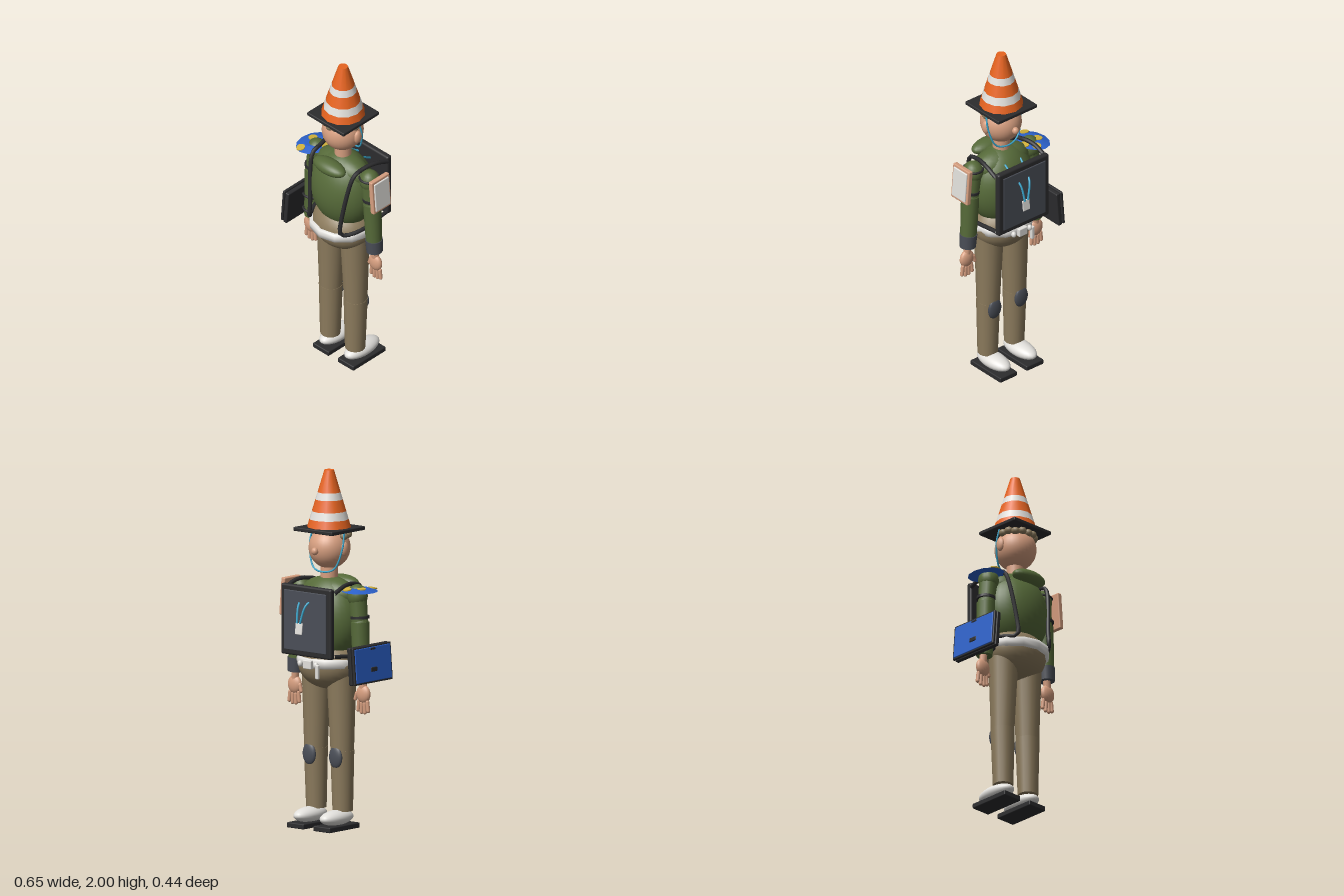
import * as THREE from 'three';
import { RoundedBoxGeometry } from 'three/addons/geometries/RoundedBoxGeometry.js';

const mat = (name, color, side = THREE.FrontSide) => {
  const m = new THREE.MeshStandardMaterial({ color, side });
  m.name = name;
  return m;
};

export function createModel() {
  const root = new THREE.Group();
  root.name = 'figure';
  const C = {
    orange: mat('orange', 0xe8641f), white: mat('white', 0xe2e0dc), black: mat('black', 0x2c2c2e),
    green: mat('green', 0x566a39), khaki: mat('khaki', 0x8c7b5d), skin: mat('skin', 0xd79f80),
    blue: mat('blue', 0x2c62cc, THREE.DoubleSide), yellow: mat('yellow', 0xd2b23c, THREE.DoubleSide),
    cyan: mat('cyan', 0x3aa6cc), grey: mat('slate grey', 0x4a4e57),
  };
  const CX = 0.011, CZ = 0.027; // body axis

  const add = (name, geo, m, p = [0, 0, 0], r = [0, 0, 0], parent = root) => {
    const mesh = new THREE.Mesh(geo, m);
    mesh.name = name;
    mesh.position.set(...p);
    mesh.rotation.set(...r);
    parent.add(mesh);
    return mesh;
  };
  const ball = (name, m, p, r, seg = 24) =>
    add(name, new THREE.SphereGeometry(1, seg, Math.ceil(seg * 0.7)).scale(...r), m, p);
  const box = (name, m, p, s, r, parent, round = 0.006) =>
    add(name, new RoundedBoxGeometry(...s, 2, Math.min(round, Math.min(...s) * 0.45)), m, p, r, parent);
  // tapered limb between two points
  const limb = (name, m, a, b, ra, rb, seg = 16) => {
    const A = new THREE.Vector3(...a), B = new THREE.Vector3(...b), d = B.clone().sub(A);
    const mesh = add(name, new THREE.CylinderGeometry(rb, ra, d.length(), seg), m);
    mesh.position.copy(A).add(B).multiplyScalar(0.5);
    mesh.quaternion.setFromUnitVectors(new THREE.Vector3(0, 1, 0), d.normalize());
    return mesh;
  };
  const tube = (name, m, pts, r, tension = 0.5) =>
    add(name, new THREE.TubeGeometry(new THREE.CatmullRomCurve3(
      pts.map(p => new THREE.Vector3(...p)), false, 'catmullrom', tension), 32, r, 8), m);

  // cone hat: plate and stacked colour bands
  box('hatPlate', C.black, [CX, 1.67, CZ], [0.284, 0.022, 0.284]);
  const coneR = y => 0.124 - (y - 1.68) / 0.32 * 0.097;
  const bands = [1.68, 1.725, 1.77, 1.835, 1.875, 2.0];
  for (let i = 0; i < 5; i++) {
    const a = bands[i], b = bands[i + 1];
    add(i % 2 ? 'hatStripe' : 'hatCone', new THREE.CylinderGeometry(coneR(b), coneR(a), b - a, 12),
      i % 2 ? C.white : C.orange, [CX, (a + b) / 2, CZ]);
  }

  // head
  ball('head', C.skin, [CX, 1.565, 0.03], [0.115, 0.118, 0.118], 32);
  ball('nose', C.skin, [CX, 1.557, -0.095], [0.02, 0.022, 0.02], 12);
  for (const s of [-1, 1]) ball('ear', C.skin, [CX + s * 0.113, 1.567, CZ], [0.018, 0.04, 0.027], 14);
  for (let i = 0; i <= 8; i++) {
    const t = Math.PI * i / 8;
    ball('hairCurl', C.khaki, [CX + 0.1 * Math.cos(t), 1.637 + 0.005 * (i % 2), 0.035 + 0.095 * Math.sin(t)],
      [0.025, 0.022, 0.025], 10);
  }
  add('neck', new THREE.CylinderGeometry(0.048, 0.048, 0.1, 20), C.skin, [CX, 1.42, CZ]);
  tube('chinStrap', C.cyan, [[-0.104, 1.66, 0.02], [-0.108, 1.57, 0], [-0.07, 1.46, -0.02], [CX, 1.435, -0.035],
    [0.092, 1.46, -0.02], [0.13, 1.57, 0], [0.126, 1.66, 0.02]], 0.005);

  // torso, collar, hips
  ball('torso', C.green, [CX, 1.17, CZ], [0.202, 0.24, 0.16], 32);
  ball('shoulderYoke', C.green, [CX, 1.31, CZ], [0.18, 0.095, 0.1]);
  ball('hood', C.green, [CX, 1.36, 0.135], [0.115, 0.042, 0.056]);
  ball('hips', C.khaki, [CX, 0.92, CZ], [0.185, 0.145, 0.157], 28);

  // belt with fittings
  const beltProfile = [[0.17, 0.905], [0.187, 0.91], [0.191, 0.935], [0.187, 0.957], [0.17, 0.96]]
    .map(p => new THREE.Vector2(...p));
  const belt = add('belt', new THREE.LatheGeometry(beltProfile, 12), C.white, [CX, 0, 0.034]);
  belt.scale.z = 0.97;
  box('buckle', C.white, [CX, 0.93, -0.153], [0.06, 0.05, 0.025]);
  for (const x of [-0.045, 0.07]) ball('beltKnob', C.white, [x, 0.93, -0.15], [0.015, 0.018, 0.015], 10);
  box('beltTab', C.white, [-0.06, 0.895, -0.155], [0.022, 0.08, 0.02]);

  for (const s of [-1, 1]) {
    const at = (x, y, z) => [CX + s * x, y, z];
    // leg, knee pad, shoe
    limb('thigh', C.khaki, at(0.096, 0.43, 0.026), at(0.09, 0.87, 0.026), 0.065, 0.083);
    limb('shin', C.khaki, at(0.096, 0.1, 0.03), at(0.096, 0.44, 0.026), 0.057, 0.067);
    ball('kneePad', C.grey, at(0.096, 0.405, -0.03), [0.046, 0.062, 0.018], 18);
    ball('shoe', C.white, at(0.096, 0.067, -0.022), [0.06, 0.043, 0.126]);
    box('sole', C.black, at(0.096, 0.015, -0.022), [0.122, 0.03, 0.258]);

    // arm
    ball('shoulder', C.green, at(0.205, 1.315, CZ), [0.058, 0.065, 0.058], 18);
    limb('upperArm', C.green, at(0.222, 1.16, CZ), at(0.205, 1.32, CZ), 0.047, 0.052, 14);
    ball('elbow', C.green, at(0.224, 1.16, CZ), [0.05, 0.05, 0.05], 16);
    limb('forearm', C.green, at(0.238, s > 0 ? 0.92 : 0.845, CZ), at(0.224, 1.17, CZ), 0.046, 0.052, 14);
    if (s > 0) limb('cuff', C.grey, at(0.243, 0.845, CZ), at(0.238, 0.925, CZ), 0.046, 0.05, 14);
    limb('armBand', C.black, at(0.224, 1.19, CZ), at(0.223, 1.205, CZ), 0.054, 0.054, 16);

    // hand with four fingers and a thumb
    ball('palm', C.skin, at(0.25, 0.77, CZ), [0.047, 0.052, 0.025], 18);
    limb('wrist', C.skin, at(0.25, 0.79, CZ), at(0.244, 0.85, CZ), 0.02, 0.022, 10);
    for (let i = 0; i < 4; i++) {
      const x = 0.218 + i * 0.022;
      add('finger', new THREE.CapsuleGeometry(0.011, 0.05, 4, 8), C.skin,
        at(x, 0.703 - (i === 1 || i === 2 ? 0.01 : 0), 0.024), [0, 0, s * (i - 1.5) * 0.08]);
    }
    add('thumb', new THREE.CapsuleGeometry(0.011, 0.035, 4, 8), C.skin, at(0.203, 0.755, 0.02), [0, 0, s * -0.3]);

    // harness strap looping over the shoulder and back under the arm
    tube('harnessStrap', C.black, [at(0.178, 1.34, -0.14), at(0.175, 1.375, -0.05), at(0.162, 1.375, 0.04),
      at(0.155, 1.33, 0.12), at(0.12, 1.06, 0.165), at(0.125, 0.965, 0.165), at(0.175, 0.97, 0.06),
      at(0.175, 0.99, -0.14)], 0.012);
  }

  // chest panel with screen, plug and wires
  box('panelFrame', C.black, [0.013, 1.172, -0.153], [0.366, 0.396, 0.036], [0, 0, 0], root, 0.012);
  box('panelScreen', C.grey, [0.013, 1.172, -0.174], [0.305, 0.335, 0.008]);
  box('plug', C.white, [0.03, 1.135, -0.208], [0.05, 0.065, 0.008], [0.12, 0, 0]);
  tube('leftWire', C.cyan, [[0.042, 1.165, -0.212], [0.052, 1.26, -0.187], [0.064, 1.31, -0.12], [0.066, 1.345, -0.07]], 0.006);
  tube('rightWire', C.cyan, [[0.02, 1.165, -0.212], [-0.007, 1.265, -0.193], [-0.034, 1.31, -0.12], [-0.045, 1.345, -0.07]], 0.006);

  // framed pad on the left shoulder
  const pad = new THREE.Group();
  pad.name = 'shoulderPad';
  pad.position.set(0.296, 1.268, CZ);
  pad.rotation.z = 0.08;
  root.add(pad);
  box('padFrame', C.skin, [0, 0, 0], [0.028, 0.21, 0.14], [0, 0, 0], pad);
  box('padPlate', C.white, [0.016, 0, 0], [0.012, 0.18, 0.114], [0, 0, 0], pad);
  add('padStrap', new THREE.TorusGeometry(0.056, 0.007, 6, 20), C.black, [0.216, 1.335, CZ], [Math.PI / 2, 0, 0]);

  // shallow spotted dome on the right shoulder
  const dome = new THREE.Group();
  dome.name = 'spottedDome';
  dome.position.set(-0.213, 1.352, CZ);
  dome.rotation.z = 0.05;
  root.add(dome);
  const cap = add('domeShell', new THREE.CylinderGeometry(0.06, 0.114, 0.016, 12), C.blue, [0, 0, 0], [0, 0, 0], dome);
  cap.scale.x = 0.8;
  for (const [x, z, y] of [[-0.026, -0.018, 0.0095], [-0.018, 0.088, 0.002], [0.07, -0.02, 0.002],
    [0.03, -0.075, 0.0045]])
    add('domeSpot', new THREE.CylinderGeometry(0.025, 0.025, 0.006, 14), C.yellow, [x, y, z],
      [z * 2.2, 0, -x * 2.2], dome);

  // folding computer strapped to the right forearm
  const slate = new THREE.Group();
  slate.name = 'armComputer';
  slate.position.set(-0.287, 0.945, CZ);
  slate.rotation.z = -0.08;
  root.add(slate);
  box('computerBase', C.black, [0.012, 0, 0], [0.026, 0.21, 0.322], [0, 0, 0], slate);
  box('computerLid', C.black, [-0.014, 0, 0], [0.016, 0.21, 0.322], [0, 0, 0], slate);
  box('lidFace', C.blue, [-0.022, 0, 0], [0.009, 0.19, 0.3], [0, 0, 0], slate);
  box('lidHandle', C.black, [-0.027, -0.03, 0], [0.008, 0.025, 0.05], [0, 0, 0], slate);
  box('lidLatch', C.black, [-0.026, 0.085, 0], [0.006, 0.012, 0.04], [0, 0, 0], slate);
  for (const y of [-0.05, 0.05])
    add('computerStrap', new THREE.TorusGeometry(0.054, 0.007, 6, 20), C.black, [-0.223, 0.945 + y, CZ], [Math.PI / 2, 0, 0]);

  return root;
}
